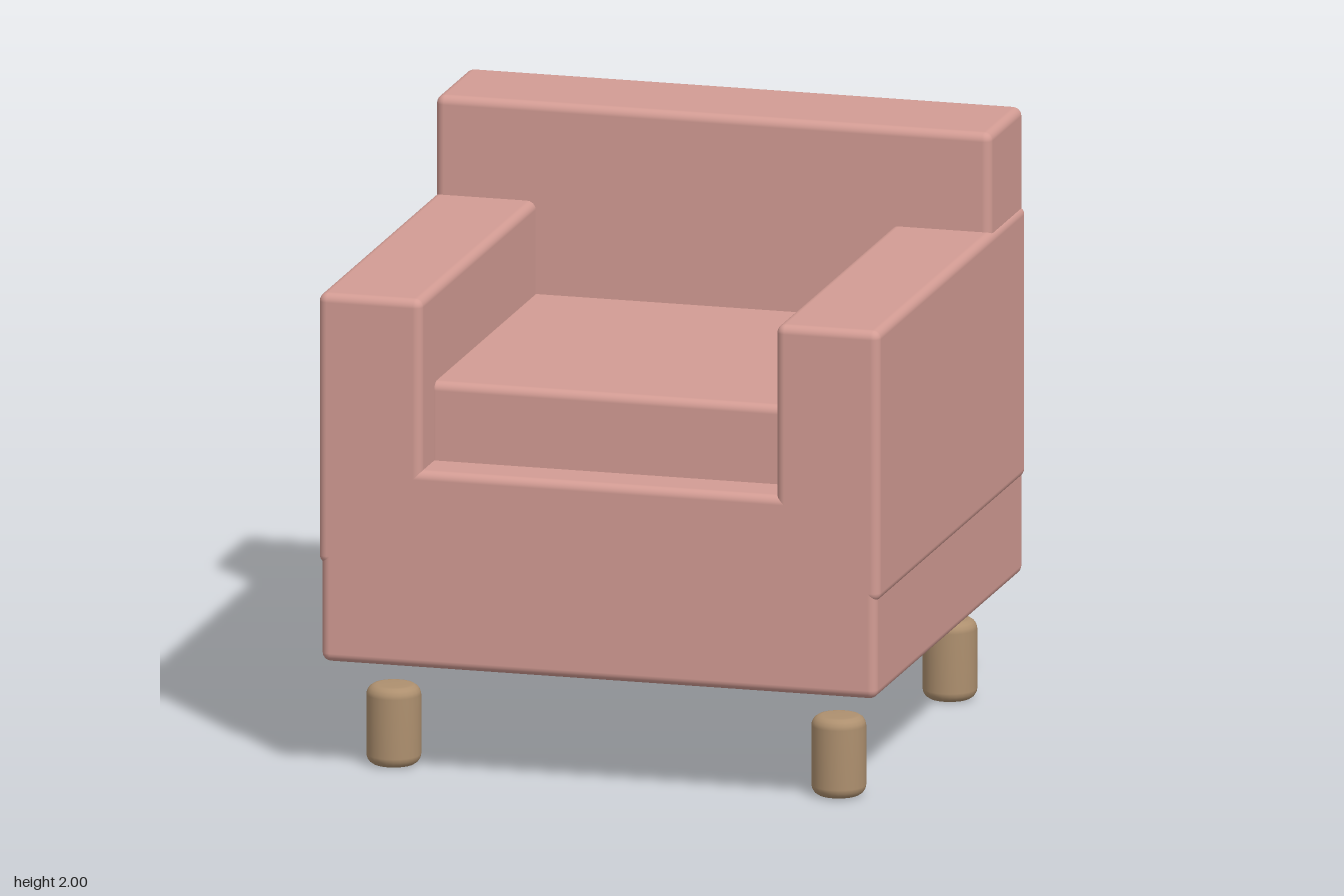
import * as THREE from 'three';
import { RoundedBoxGeometry } from 'three/addons/geometries/RoundedBoxGeometry.js';

export function createModel() {
  const chair = new THREE.Group();
  chair.name = 'armchair';

  const fabric = new THREE.MeshStandardMaterial({ color: 0xd39c94 });
  fabric.name = 'rose fabric';
  const wood = new THREE.MeshStandardMaterial({ color: 0xae906f });
  wood.name = 'light wood';

  // Upholstered block given by its extents on each axis
  function block(name, [x0, x1], [y0, y1], [z0, z1], radius = 0.03) {
    const geometry = new RoundedBoxGeometry(x1 - x0, y1 - y0, z1 - z0, 3, radius);
    const mesh = new THREE.Mesh(geometry, fabric);
    mesh.name = name;
    mesh.position.set((x0 + x1) / 2, (y0 + y1) / 2, (z0 + z1) / 2);
    chair.add(mesh);
  }

  block('base', [-0.965, 0.965], [0.39, 1.07], [-0.905, 0.905]);
  block('backrest', [-0.965, 0.965], [0.39, 2], [-0.905, -0.5]);
  block('seatCushion', [-0.64, 0.64], [0.95, 1.34], [-0.6, 0.745]);
  block('leftArm', [0.615, 0.975], [0.725, 1.66], [-0.905, 0.905]);
  block('rightArm', [-0.975, -0.615], [0.725, 1.66], [-0.905, 0.905]);

  // Short round legs with softened ends
  const radius = 0.092, height = 0.275, bevel = 0.035;
  const profile = [new THREE.Vector2(0, 0)];
  for (let i = 0; i <= 4; i++) {
    const a = (i / 4) * Math.PI / 2;
    profile.push(new THREE.Vector2(radius - bevel + bevel * Math.sin(a), bevel - bevel * Math.cos(a)));
  }
  for (let i = 0; i <= 4; i++) {
    const a = (i / 4) * Math.PI / 2;
    profile.push(new THREE.Vector2(radius - bevel + bevel * Math.cos(a), height - bevel + bevel * Math.sin(a)));
  }
  profile.push(new THREE.Vector2(0, height));
  const legGeometry = new THREE.LatheGeometry(profile, 24);

  for (const [side, x] of [['Left', 0.773], ['Right', -0.773]]) {
    for (const [end, z] of [['front', 0.684], ['back', -0.68]]) {
      const leg = new THREE.Mesh(legGeometry, wood);
      leg.name = `${end}${side}Leg`;
      leg.position.set(x, 0, z);
      chair.add(leg);
    }
  }

  return chair;
}
